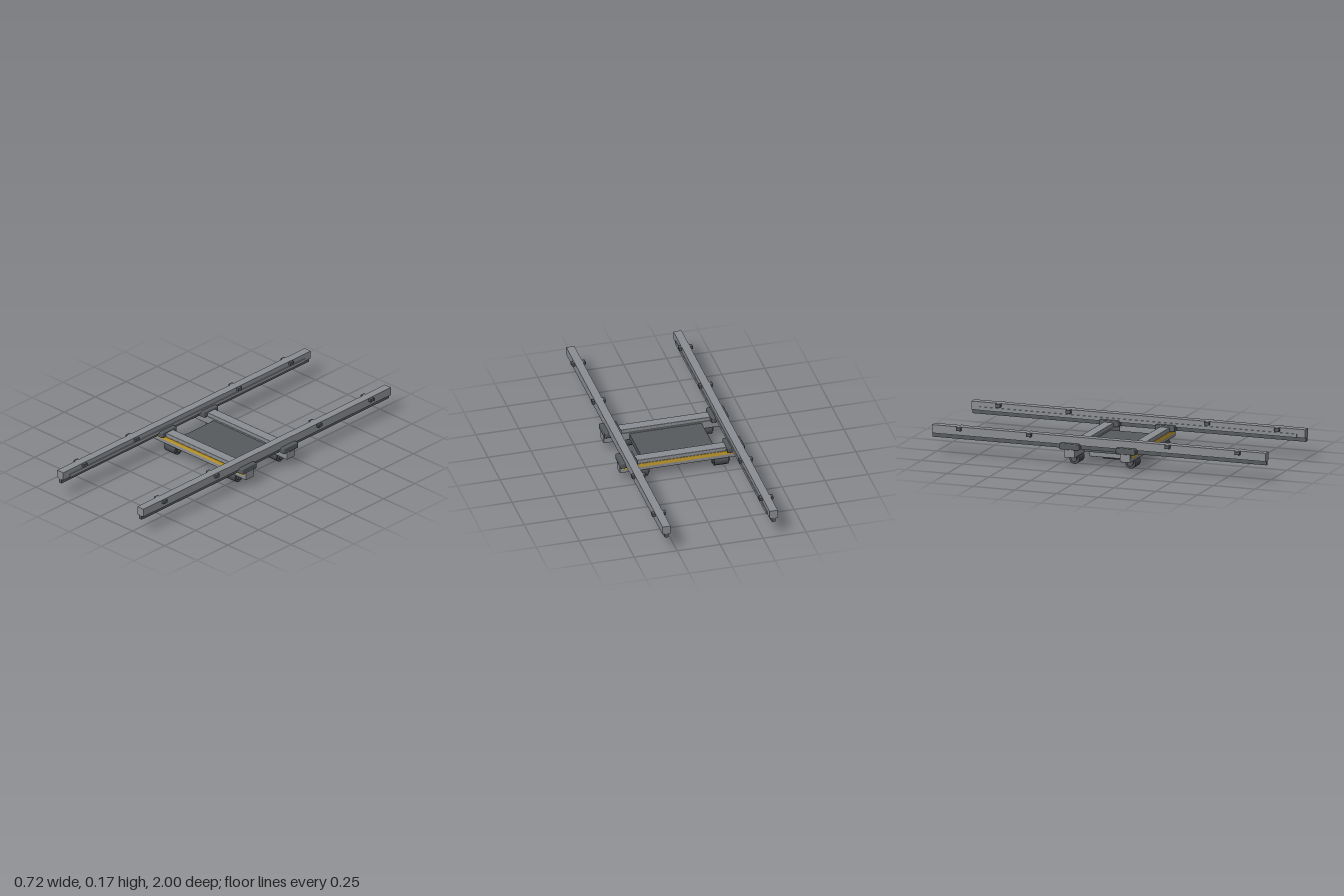
import * as THREE from 'three';
import { RoundedBoxGeometry } from 'three/addons/geometries/RoundedBoxGeometry.js';

const material = (name, color) => {
  const m = new THREE.MeshStandardMaterial({ color });
  m.name = name;
  return m;
};

export function createModel() {
  const steel = material('steel grey', 0x8a8d92);
  const dark = material('dark grey', 0x565a5d);
  const rubber = material('roller grey', 0x484b4f);
  const yellow = material('safety yellow', 0xc9a232);

  const model = new THREE.Group();
  model.name = 'railShuttle';

  const add = (name, geometry, mat, x, y, z, parent = model) => {
    const mesh = new THREE.Mesh(geometry, mat);
    mesh.name = name;
    mesh.position.set(x, y, z);
    parent.add(mesh);
    return mesh;
  };
  // Box given by its extents along each axis
  const box = (name, mat, [x0, x1], [y0, y1], [z0, z1], bevel = 0) => {
    const size = [Math.abs(x1 - x0), y1 - y0, Math.abs(z1 - z0)];
    const geometry = bevel
      ? new RoundedBoxGeometry(...size, 1, bevel)
      : new THREE.BoxGeometry(...size);
    return add(name, geometry, mat, (x0 + x1) / 2, (y0 + y1) / 2, (z0 + z1) / 2);
  };

  for (const s of [-1, 1]) {
    // Long rail: head, web and inner strip
    box('railHead', steel, [s * 0.288, s * 0.335], [0.122, 0.17], [-1, 1]);
    box('railWeb', dark, [s * 0.301, s * 0.321], [0.098, 0.122], [-1, 1]);
    box('railStrip', steel, [s * 0.283, s * 0.288], [0.122, 0.142], [-0.95, 0.95]);

    // Small clips gripping both sides of the rail
    for (const z of [-0.835, -0.415, 0.415, 0.835]) {
      box('innerClip', dark, [s * 0.271, s * 0.289], [0.149, 0.169], [z - 0.015, z + 0.015], 0.003);
      box('outerClip', dark, [s * 0.334, s * 0.352], [0.149, 0.169], [z - 0.015, z + 0.015], 0.003);
    }

    // Guide blocks between rails and cross beams
    for (const e of [-1, 1]) {
      box('guideBlock', dark, [s * 0.26, s * 0.362], [0.097, 0.132], [e * 0.11, e * 0.227], 0.006);
    }

    // Mounting bar under the deck
    box('mountingBar', steel, [s * 0.107, s * 0.171], [0.025, 0.062], [-0.12, 0.12], 0.003);
  }

  for (const e of [-1, 1]) {
    // Cross beam with a yellow stripe on its outer face
    box('crossBeam', steel, [-0.36, 0.36], [0.053, 0.1], [e * 0.135, e * 0.198], 0.003);
    box('crossBeamTop', steel, [-0.3, 0.3], [0.098, 0.122], [e * 0.138, e * 0.198], 0.003);
    box('beamStripe', yellow, [-0.343, 0.343], [0.075, 0.098], [e * 0.197, e * 0.2]);

    // Rollers held by rounded side plates
    for (const s of [-1, 1]) {
      const roller = new THREE.Group();
      roller.name = 'roller';
      roller.position.set(s * 0.234, 0.03, e * 0.168);
      const drum = add('rollerDrum', new THREE.CylinderGeometry(0.03, 0.03, 0.083, 24), rubber, 0, 0, 0, roller);
      drum.rotation.z = Math.PI / 2;
      for (const side of [-1, 1]) {
        const x = side * 0.046;
        add('rollerPlate', new THREE.BoxGeometry(0.01, 0.026, 0.034), dark, x, 0.013, 0, roller);
        const cap = add('rollerCap', new THREE.CylinderGeometry(0.017, 0.017, 0.01, 16), dark, x, 0.002, 0, roller);
        cap.rotation.z = Math.PI / 2;
      }
      model.add(roller);
    }
  }

  // Central deck
  box('deck', dark, [-0.21, 0.21], [0.06, 0.092], [-0.137, 0.137]);

  // Hexagonal tub under the deck, tapering at the bottom
  const hex = (top, bottom, height) => {
    const g = new THREE.CylinderGeometry(top, bottom, height, 6).toNonIndexed();
    g.scale(1, 1, 0.87);
    g.computeVertexNormals();
    return g;
  };
  add('tub', hex(0.152, 0.152, 0.038), dark, 0, 0.043, 0);
  add('tubBase', hex(0.152, 0.127, 0.02), dark, 0, 0.015, 0);

  // Yellow marks on the underside
  for (const s of [-1, 1]) {
    box('underMark', yellow, [s * 0.034, s * 0.068], [0.002, 0.006], [-0.025, 0.025]);
  }

  return model;
}
